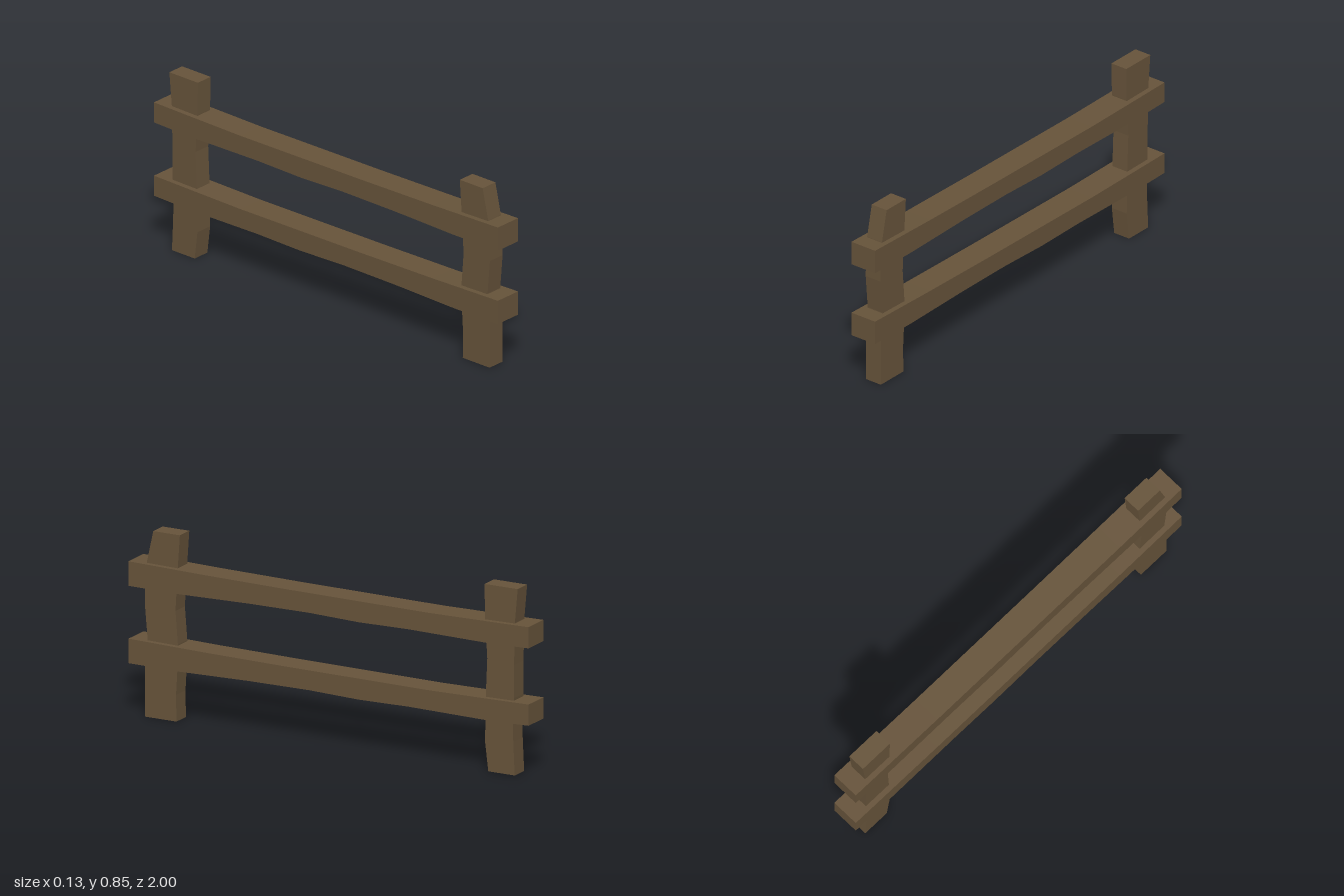
import * as THREE from 'three';

const wood = new THREE.MeshStandardMaterial({ color: 0x66533a, flatShading: true });

// Side outline given as [z, y] points, extruded across x and centred
function plank(name, outline, width) {
  const shape = new THREE.Shape(outline.map(([z, y]) => new THREE.Vector2(z, y)));
  const geo = new THREE.ExtrudeGeometry(shape, { depth: width, bevelEnabled: false });
  geo.translate(0, 0, -width / 2);
  geo.rotateY(-Math.PI / 2);
  const mesh = new THREE.Mesh(geo, wood);
  mesh.name = name;
  return mesh;
}

export function createModel() {
  const fence = new THREE.Group();
  fence.name = 'fence';

  // Roughly hewn posts
  fence.add(plank('frontPost', [
    [0.93, 0], [0.93, 0.24], [0.918, 0.35], [0.932, 0.51], [0.93, 0.6], [0.922, 0.7], [0.89, 0.845],
    [0.757, 0.845], [0.767, 0.7], [0.779, 0.5], [0.767, 0.35], [0.769, 0.24], [0.776, 0.12], [0.774, 0],
  ], 0.083));
  fence.add(plank('backPost', [
    [-0.785, 0], [-0.769, 0.13], [-0.772, 0.33], [-0.78, 0.51], [-0.769, 0.69], [-0.766, 0.845],
    [-0.932, 0.845], [-0.918, 0.69], [-0.914, 0.5], [-0.914, 0.35], [-0.908, 0.24], [-0.91, 0.15], [-0.917, 0],
  ], 0.083));

  // Slightly uneven rails, same outline at two heights
  const rail = [
    [1, 0.113], [0.62, 0.105], [0.2, 0.1], [-0.5, 0.096], [-0.8, 0.1], [-1, 0.103],
    [-1, 0.007], [-0.8, 0.002], [-0.4, 0.007], [-0.15, 0.003], [0.1, 0.01], [0.4, 0.008], [0.75, 0], [1, 0.002],
  ];
  [['lowerRail', 0.236], ['upperRail', 0.586]].forEach(([name, y]) => {
    const mesh = plank(name, rail, 0.132);
    mesh.position.y = y;
    fence.add(mesh);
  });
  return fence;
}
